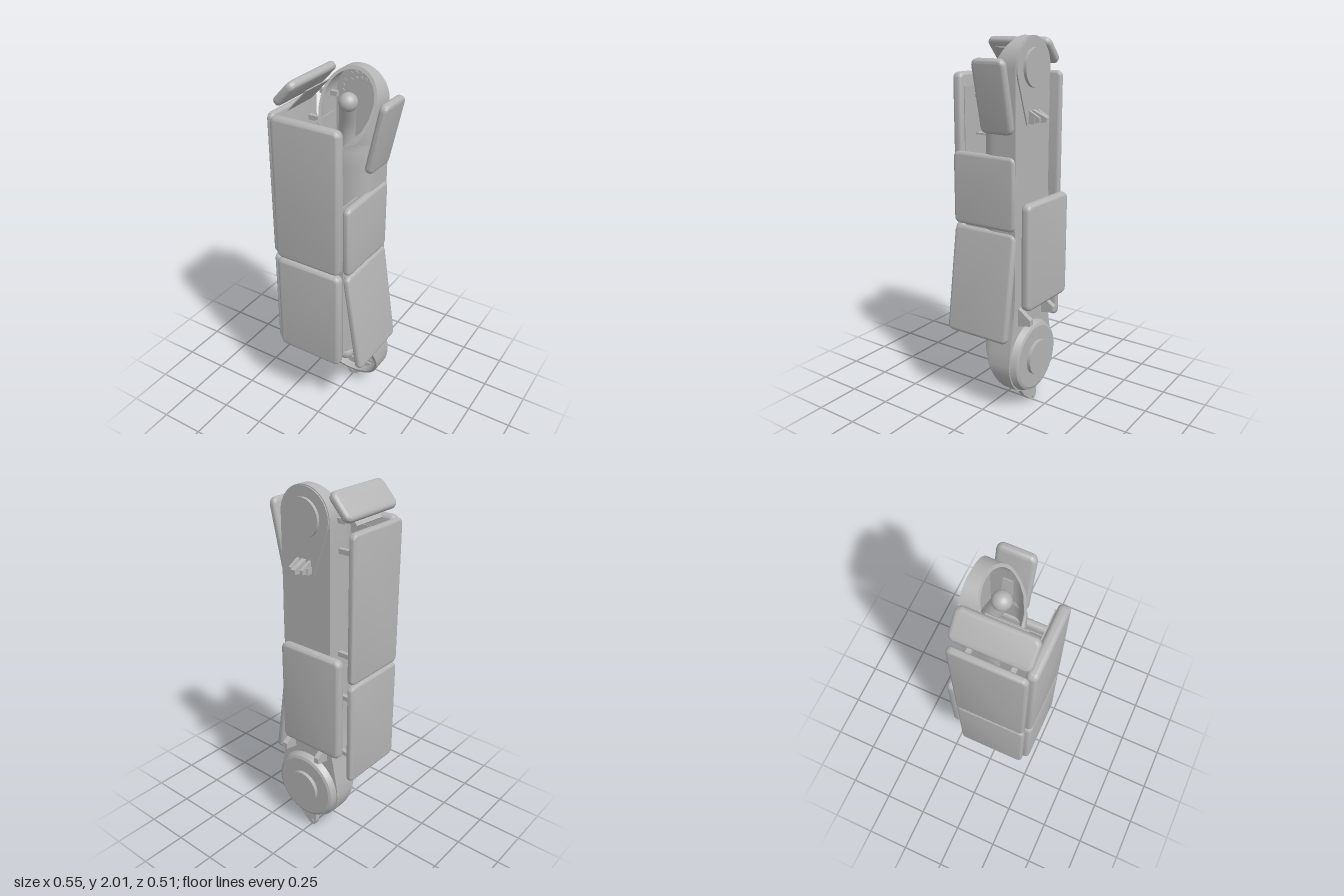
import * as THREE from 'three';
import { toCreasedNormals } from 'three/addons/utils/BufferGeometryUtils.js';

const CX = 0.02, TOP = { y: 1.85, r: 0.155 }, LOW = { y: 0.29, r: 0.21 };
const BACK = -0.16, SIDE = -0.03, FRONT = 0.08;

// Half-widths of the limb outline from the bottom pole to the top pole
function outline(inset) {
  const rows = [], n = 14;
  for (let i = 0; i <= n; i++) {
    const a = (i / n - 1) * Math.PI / 2, r = LOW.r - inset;
    rows.push([LOW.y + r * Math.sin(a), r * Math.cos(a)]);
  }
  for (const [y, w] of [[0.36, 0.203], [0.46, 0.183], [0.56, 0.165], [0.66, 0.157]]) rows.push([y, w - inset]);
  for (let i = 1; i <= 20; i++) rows.push([0.66 + i * 0.057, 0.156 - inset]);
  for (let i = 0; i <= n; i++) {
    const a = i / n * Math.PI / 2, r = TOP.r - inset;
    rows.push([TOP.y + r * Math.sin(a), r * Math.cos(a)]);
  }
  return rows;
}

// Section from the back corner round to the front, cut by the slanted end planes
function section([y, w], inset, n) {
  const front = FRONT - inset, d = front - SIDE;
  const cut = Math.min(front, -0.1 + (y - 0.08) * 0.343, -0.11 + (2.005 - y) * 0.52);
  const flat = Math.min(cut, SIDE) - BACK;
  const theta = cut > SIDE ? Math.asin(Math.min(1, (cut - SIDE) / d)) : 0;
  const arc = theta * 0.135, pts = [];
  for (let i = 0; i <= n; i++) {
    const s = i / n * (flat + arc);
    if (s <= flat) pts.push([w, y, BACK + s]);
    else {
      const t = (s - flat) / 0.135;
      pts.push([w * Math.cos(t), y, SIDE + d * Math.sin(t)]);
    }
  }
  return pts;
}

// One half of the shell: outer skin, rim and inner skin in a single loft
function shellHalf(side) {
  const outer = outline(0), inner = outline(0.016), n = 20, pos = [], idx = [];
  const rows = outer.map((o, i) => [...section(o, 0, n), ...section(inner[i], 0.016, n).reverse()]);
  const m = rows[0].length;
  rows.forEach((row, i) => row.forEach(([x, y, z], j) => {
    pos.push(CX + side * x, y, z);
    if (i && j) {
      const a = (i - 1) * m + j - 1, b = a + 1, c = a + m, e = c + 1;
      if (side > 0) idx.push(a, c, b, b, c, e);
      else idx.push(a, b, c, b, e, c);
    }
  }));
  const g = new THREE.BufferGeometry();
  g.setAttribute('position', new THREE.Float32BufferAttribute(pos, 3));
  g.setIndex(idx);
  g.computeVertexNormals();
  return toCreasedNormals(g, 0.7);
}

function roundedRect(w, h, r) {
  const s = new THREE.Shape(), x = w / 2, y = h / 2;
  s.absarc(x - r, y - r, r, 0, Math.PI / 2);
  s.absarc(-x + r, y - r, r, Math.PI / 2, Math.PI);
  s.absarc(-x + r, -y + r, r, Math.PI, Math.PI * 1.5);
  s.absarc(x - r, -y + r, r, Math.PI * 1.5, Math.PI * 2);
  s.closePath();
  return s;
}

export function createModel() {
  const model = new THREE.Group();
  const grey = new THREE.MeshStandardMaterial({ color: 0xb4b4b4, side: THREE.DoubleSide });
  grey.name = 'plain grey';

  const add = (name, geo, x = 0, y = 0, z = 0, rz = 0) => {
    const mesh = new THREE.Mesh(geo, grey);
    mesh.name = name;
    mesh.position.set(x, y, z);
    mesh.rotation.z = rz;
    model.add(mesh);
    return mesh;
  };
  const box = (name, w, h, d, x, y, z, rz) => add(name, new THREE.BoxGeometry(w, h, d), x, y, z, rz);
  const plate = (name, shape, z0, z1) =>
    add(name, new THREE.ExtrudeGeometry(shape, { depth: z1 - z0, bevelEnabled: false, curveSegments: 24 }), 0, 0, z0);
  const disc = (name, r, z0, z1, x, y, sides = 48) =>
    add(name, new THREE.CylinderGeometry(r, r, z1 - z0, sides).rotateX(Math.PI / 2), x, y, (z0 + z1) / 2);

  // Cushion-edged armour panel, facing z or (sideways) x
  const panel = (name, w, h, t, x, y, z, sideways = false, rz = 0) => {
    const b = Math.min(0.02, t * 0.45), bt = t * 0.42;
    let g = new THREE.ExtrudeGeometry(roundedRect(w - 2 * b, h - 2 * b, 0.015), {
      depth: t - 2 * bt, bevelThickness: bt, bevelSize: b, bevelSegments: 4, curveSegments: 5
    });
    g.translate(0, 0, -(t - 2 * bt) / 2);
    if (sideways) g.rotateY(Math.PI / 2);
    add(name, toCreasedNormals(g, 0.6), x, y, z, rz);
  };

  // Limb shell with slanted openings at both ends
  add('shellLeft', shellHalf(1));
  add('shellRight', shellHalf(-1));
  const rim = outline(0);
  const backShape = new THREE.Shape([
    ...rim.map(([y, w]) => new THREE.Vector2(CX + w, y)),
    ...rim.slice(1, -1).reverse().map(([y, w]) => new THREE.Vector2(CX - w, y))
  ]);
  plate('backPlate', backShape, -0.165, -0.152);

  // Raised upper joint housing, tapering down to the fin bracket
  const housing = new THREE.Shape();
  housing.absarc(CX, TOP.y, 0.15, -0.35, Math.PI + 0.35);
  housing.lineTo(CX - 0.06, 1.57);
  housing.lineTo(CX + 0.06, 1.57);
  housing.closePath();
  plate('upperHousing', housing, -0.172, -0.16);
  disc('upperHub', 0.098, -0.188, -0.17, CX, TOP.y);

  // Lower joint
  const lower = [[0, -0.205], [0.175, -0.205], [0.19, -0.198], [0.205, -0.16]].map(p => new THREE.Vector2(...p));
  add('lowerJoint', toCreasedNormals(new THREE.LatheGeometry(lower, 48).rotateX(Math.PI / 2), 0.4), CX, LOW.y, 0);
  disc('lowerHub', 0.098, -0.226, -0.2, CX, LOW.y);

  // Pointed tab below the lower joint
  const tab = new THREE.Shape();
  tab.moveTo(-0.03, 0.14);
  tab.lineTo(-0.033, 0.04);
  tab.quadraticCurveTo(-0.03, 0, 0, 0);
  tab.quadraticCurveTo(0.02, 0.005, 0.06, 0.045);
  tab.quadraticCurveTo(0.1, 0.07, 0.13, 0.14);
  tab.closePath();
  plate('bottomTab', tab, -0.17, -0.142);
  disc('tabPin', 0.012, -0.175, -0.137, -0.005, 0.025, 16);

  // Bolts around the floors of both openings
  const bolts = (name, cy, r, angles) => angles.forEach(a => {
    const t = a * Math.PI / 180;
    disc(name, 0.014, -0.156, -0.147, CX + r * Math.cos(t), cy + r * Math.sin(t), 6);
  });
  bolts('upperBolt', TOP.y, 0.105, [0, 15, 30, 60, 75, 90, 105, 120, 150, 165, 180]);
  bolts('upperBolt', TOP.y, 0.08, [50, 70, 90, 110, 130]);
  bolts('lowerBolt', LOW.y, 0.165, [15, 25, 35, 45, 135, 145, 155, 180, 192, 204, 216, 228, 270, 282, 294, 306, 318]);

  // Cable tube running inside the limb, with a ball at each end
  const path = new THREE.CatmullRomCurve3([
    [0.02, 0.29, -0.03], [0.02, 0.5, -0.035], [0.01, 0.8, -0.06], [-0.02, 1.4, -0.09], [-0.015, 1.68, -0.085], [0.023, 1.85, -0.03]
  ].map(p => new THREE.Vector3(...p)));
  add('cableTube', new THREE.TubeGeometry(path, 48, 0.043, 20));
  add('upperBall', new THREE.SphereGeometry(0.048, 28, 18), 0.023, 1.85, -0.03);
  add('lowerBall', new THREE.SphereGeometry(0.05, 28, 18), 0.02, 0.29, -0.03);

  // Fin brackets on the back
  const fin = (name, x, y, h, reach, t) => {
    const s = new THREE.Shape([[0, -h / 2], [reach, -h * 0.25], [reach, h * 0.2], [0, h]].map(p => new THREE.Vector2(...p)));
    const g = new THREE.ExtrudeGeometry(s, { depth: t, bevelEnabled: false });
    add(name, g.translate(0, 0, -t / 2).rotateY(Math.PI / 2), x, y, -0.16);
  };
  fin('upperFin', -0.015, 1.6, 0.05, 0.075, 0.016);
  fin('upperFin', 0.022, 1.6, 0.05, 0.095, 0.028);
  fin('upperFin', 0.06, 1.6, 0.05, 0.075, 0.016);
  box('upperFinBase', 0.1, 0.035, 0.04, 0.022, 1.595, -0.185);
  for (const x of [-0.1, 0.13]) fin('lowerFin', x, 0.54, 0.07, 0.08, 0.03);

  // Thin inner frame carrying the panels
  box('frameRight', 0.005, 1.28, 0.31, -0.115, 1.11, 0.03);
  box('frameLeft', 0.005, 0.93, 0.31, 0.128, 0.94, 0.03);
  box('frameFront', 0.245, 1.28, 0.005, 0.006, 1.11, 0.186);
  const spacer = roundedRect(0.085, 0.1, 0.006);
  spacer.holes.push(roundedRect(0.043, 0.054, 0.014));
  for (const y of [0.65, 1.5])
    add('frameSpacer', new THREE.ExtrudeGeometry(spacer, { depth: 0.01, bevelEnabled: false }).rotateX(Math.PI / 2), -0.002, y, 0.134);

  // Stand-offs between frame and panels
  for (const y of [0.55, 0.9, 1.15, 1.7]) {
    for (const x of [-0.1, 0.03]) disc('frontStandoff', 0.014, 0.18, 0.21, x, y, 16);
    for (const z of [-0.09, 0.13]) box('sideStandoff', 0.14, 0.025, 0.025, -0.185, y, z);
  }
  for (const x of [-0.14, 0.08]) for (const y of [0.75, 1.05]) disc('backStandoff', 0.016, -0.19, -0.15, x, y, 16);
  box('slantStandoff', 0.1, 0.025, 0.1, 0.175, 0.65, 0);
  box('upperStandoff', 0.07, 0.12, 0.05, 0.175, 1.72, -0.06, -0.22);
  box('cornerBracket', 0.005, 0.16, 0.2, -0.15, 1.88, 0.05, -0.75);
  box('cornerBracketArm', 0.1, 0.025, 0.02, -0.13, 1.85, -0.1);

  // Front panels
  panel('frontPanelUpper', 0.39, 0.79, 0.058, -0.05, 1.425, 0.226);
  panel('frontPanelLower', 0.39, 0.59, 0.058, -0.05, 0.725, 0.226);
  // Right panels
  panel('rightPanelUpper', 0.39, 0.79, 0.037, -0.262, 1.425, 0.03, true);
  panel('rightPanelLower', 0.39, 0.59, 0.037, -0.262, 0.725, 0.03, true);
  panel('cornerPanel', 0.39, 0.165, 0.045, -0.182, 1.925, 0.03, true, -0.75);
  // Left panels, two of them flared
  panel('leftPanelMiddle', 0.39, 0.39, 0.042, 0.167, 1.225, 0.03, true);
  panel('leftPanelLower', 0.39, 0.59, 0.042, 0.207, 0.728, 0.028, true, 0.146);
  panel('leftPanelUpper', 0.195, 0.38, 0.045, 0.212, 1.715, -0.058, true, -0.22);
  // Back panel
  panel('backPanel', 0.39, 0.585, 0.055, -0.048, 0.887, -0.204);

  return model;
}
